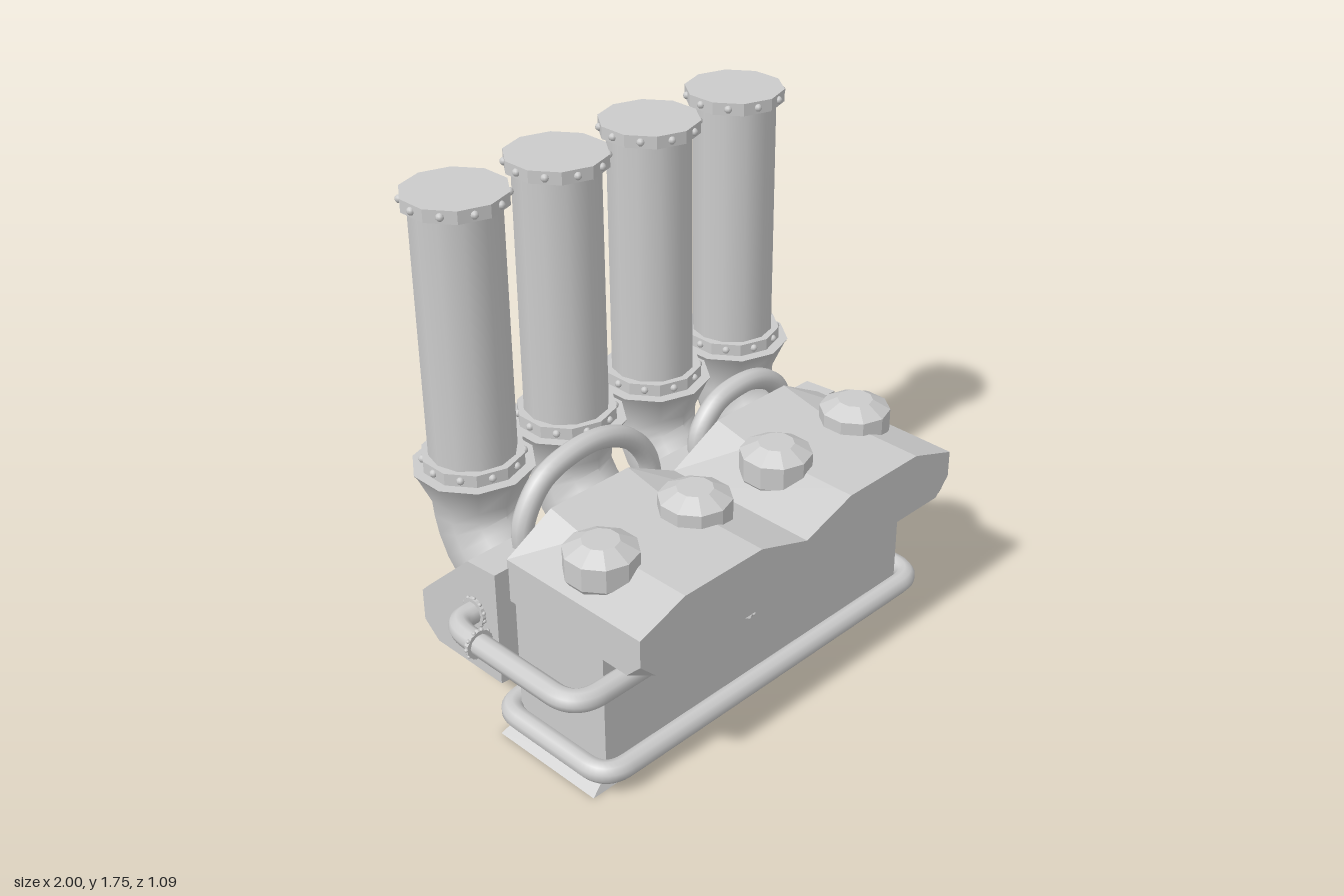
import * as THREE from 'three';
import { toCreasedNormals } from 'three/addons/utils/BufferGeometryUtils.js';

const grey = new THREE.MeshStandardMaterial({ color: 0xcccccc });
const flat = new THREE.MeshStandardMaterial({ color: 0xcccccc, flatShading: true });
const V = (x, y, z) => new THREE.Vector3(x, y, z);

function add(parent, name, geometry, x = 0, y = 0, z = 0, material = grey) {
  const mesh = new THREE.Mesh(geometry, material);
  mesh.name = name;
  mesh.position.set(x, y, z);
  parent.add(mesh);
  return mesh;
}

// Skin a list of equal-sized point rings and close both ends
function loft(rings, crease) {
  const n = rings[0].length, pos = [], idx = [];
  rings.forEach(r => r.forEach(p => pos.push(p.x, p.y, p.z)));
  for (let i = 0; i < rings.length - 1; i++)
    for (let j = 0; j < n; j++) {
      const a = i * n + j, b = i * n + (j + 1) % n;
      idx.push(a, b, a + n, b, b + n, a + n);
    }
  [0, rings.length - 1].forEach((k, end) => {
    const c = rings[k].reduce((s, p) => s.add(p), V(0, 0, 0)).divideScalar(n);
    const ci = pos.length / 3;
    pos.push(c.x, c.y, c.z);
    for (let j = 0; j < n; j++) {
      const a = k * n + j, b = k * n + (j + 1) % n;
      if (end) idx.push(ci, a, b); else idx.push(ci, b, a);
    }
  });
  // Turn the faces outward if the enclosed volume is negative
  const at = i => V(pos[3 * i], pos[3 * i + 1], pos[3 * i + 2]);
  let volume = 0;
  for (let i = 0; i < idx.length; i += 3)
    volume += at(idx[i]).dot(at(idx[i + 1]).cross(at(idx[i + 2])));
  if (volume < 0) idx.reverse();
  const g = new THREE.BufferGeometry();
  g.setAttribute('position', new THREE.Float32BufferAttribute(pos, 3));
  g.setIndex(idx);
  return toCreasedNormals(g, crease);
}

// Straight runs joined by rounded corners
function roundedPath(points, radius, closed = false) {
  const path = new THREE.CurvePath(), n = points.length;
  const toward = (a, b) => a.clone().add(b.clone().sub(a).setLength(Math.min(radius, a.distanceTo(b) * 0.49)));
  let last = closed ? toward(points[0], points[1]) : points[0];
  const start = last;
  for (let i = 1; i < (closed ? n + 1 : n - 1); i++) {
    const p = points[i % n], inn = toward(p, points[i - 1]), out = toward(p, points[(i + 1) % n]);
    path.add(new THREE.LineCurve3(last, inn));
    path.add(new THREE.QuadraticBezierCurve3(inn, p, out));
    last = out;
  }
  if (!closed) path.add(new THREE.LineCurve3(last, points[n - 1]));
  else if (last.distanceTo(start) > 1e-6) path.add(new THREE.LineCurve3(last, start));
  return path;
}

// Ten-sided ring with a bolt on each side, turned to the given axis
function boltedFlange(parent, name, r, h, boltR, at, axis = V(0, 1, 0)) {
  const g = new THREE.Group();
  g.name = name;
  add(g, 'flangeRing', new THREE.CylinderGeometry(r, r, h, 10), 0, 0, 0, flat);
  const bolt = new THREE.SphereGeometry(boltR, 8, 6);
  for (let i = 0; i < 10; i++) {
    const t = (i + 0.5) * Math.PI / 5, d = r * 0.955;
    add(g, 'bolt', bolt, d * Math.sin(t), 0, d * Math.cos(t));
  }
  g.position.copy(at);
  g.quaternion.setFromUnitVectors(V(0, 1, 0), axis);
  parent.add(g);
}

export function createModel() {
  const model = new THREE.Group();
  model.name = 'engine';
  const X = V(1, 0, 0), Z = V(0, 0, 1);

  // Block on a flared foot
  add(model, 'engineBlock', new THREE.BoxGeometry(1.405, 0.48, 0.395), -0.063, 0.28, 0.168);
  const rect = (hx, hz, y) => [[-1, -1], [1, -1], [1, 1], [-1, 1]].map(([a, b]) => V(-0.063 + a * hx, y, 0.168 + b * hz));
  add(model, 'baseFlare', loft([rect(0.777, 0.218, 0), rect(0.7, 0.197, 0.05)], 0.1));

  // Valve cover with two humps, a little higher at the back
  const cover = (z, lift, cut) => [
    [-0.785, 0.505 + cut], [-0.785, 0.66], [-0.6, 0.725 + lift], [-0.27, 0.725 + lift], [-0.063, 0.655],
    [0.145, 0.725 + lift], [0.475, 0.725 + lift], [0.66, 0.66], [0.66, 0.505 + cut], [0.66 - cut, 0.505], [-0.785 + cut, 0.505],
  ].map(([x, y]) => V(x, y, z));
  add(model, 'valveCover', loft([cover(0.548, 0, 0.06), cover(0.49, 0, 0.002), cover(0.12, 0, 0.002), cover(-0.035, 0.035, 0.002)], 0.1));

  // Filler caps
  const capProfile = [[0, 0.64], [0.1, 0.66], [0.12, 0.69], [0.12, 0.77], [0.06, 0.803], [0, 0.803]].map(p => new THREE.Vector2(...p));
  for (const x of [-0.65, -0.25, 0.125, 0.52])
    add(model, 'fillerCap', new THREE.LatheGeometry(capProfile, 10), x, 0, 0.245, flat);

  // Exhaust manifold, deepest in the middle
  const manifold = (x, zBottom, yBottom) => [
    [-0.03, 0.63], [-0.16, 0.62], [-0.375, 0.42], [-0.41, 0.385], [-0.41, 0.27], [zBottom, yBottom], [-0.03, yBottom],
  ].map(([z, y]) => V(x, y, z));
  add(model, 'manifold', loft([manifold(-0.84, -0.345, 0.215), manifold(0, -0.305, 0.155), manifold(0.745, -0.345, 0.215)], 0.1));
  add(model, 'drainPipe', new THREE.CylinderGeometry(0.078, 0.078, 0.2, 10), 0.285, 0.1, -0.207, flat);

  // Four stacks, each with a flared elbow below: y, z, tilt, radius
  const elbow = [[0.818, -0.345, 0, 0.2], [0.8, -0.345, 0, 0.188], [0.71, -0.345, 0, 0.148], [0.66, -0.343, 0.1, 0.145],
    [0.61, -0.328, 0.38, 0.145], [0.555, -0.295, 0.65, 0.147], [0.51, -0.25, 0.8, 0.148], [0.45, -0.19, 0.8, 0.145]];
  const elbowRings = elbow.map(([y, z, a, r]) => Array.from({ length: 10 }, (_, i) => {
    const t = i * Math.PI / 5, u = r * Math.cos(t);
    return V(r * Math.sin(t), y + u * Math.sin(a), z + u * Math.cos(a));
  }));
  const elbowGeometry = loft(elbowRings, 0.75);
  for (const x of [-0.645, -0.25, 0.145, 0.54]) {
    add(model, 'elbow', elbowGeometry, x);
    add(model, 'stack', new THREE.CylinderGeometry(0.142, 0.142, 0.92, 12), x, 1.28, -0.345);
    for (const y of [0.842, 1.725])
      boltedFlange(model, 'stackFlange', 0.167, 0.042, 0.013, V(x, y, -0.345));
  }

  // Upper rail running round the front from one manifold end to the other
  const yr = 0.445;
  const upper = roundedPath([V(-0.8, yr, -0.135), V(-0.942, yr, -0.135), V(-0.942, yr, 0.437),
    V(0.795, yr, 0.437), V(0.795, yr, -0.135), V(0.7, yr, -0.135)], 0.1);
  add(model, 'upperRail', new THREE.TubeGeometry(upper, 240, 0.037, 10));
  const small = (x, y, z, axis, r = 0.05) => boltedFlange(model, 'pipeFlange', r, 0.015, 0.007, V(x, y, z), axis);
  small(-0.942, yr, 0, Z);
  small(0.795, yr, 0, Z);
  small(-0.23, yr, 0.437, X);
  small(-0.845, yr, -0.135, X);
  small(0.75, yr, -0.135, X);

  // Lower rail looping round the foot
  const lower = roundedPath([V(-0.812, 0.08, -0.07), V(-0.812, 0.08, 0.415), V(0.69, 0.08, 0.415), V(0.69, 0.08, -0.07)], 0.09, true);
  add(model, 'lowerRail', new THREE.TubeGeometry(lower, 280, 0.037, 10, true));

  // Side pipe from the manifold back to the block
  const side = new THREE.CatmullRomCurve3([V(0.7, 0.32, -0.31), V(0.84, 0.32, -0.31), V(0.925, 0.31, -0.27), V(0.963, 0.29, -0.18),
    V(0.95, 0.265, -0.03), V(0.9, 0.245, 0.07), V(0.8, 0.23, 0.11), V(0.6, 0.225, 0.12)]);
  add(model, 'sidePipe', new THREE.TubeGeometry(side, 16, 0.039, 8), 0, 0, 0, flat);
  small(0.75, 0.32, -0.31, X, 0.06);
  small(0.647, 0.225, 0.12, X, 0.06);

  // Arched hoses behind the cover
  const arches = [
    [[-0.66, 0.58], [-0.66, 0.7], [-0.58, 0.82], [-0.46, 0.866], [-0.32, 0.866], [-0.2, 0.81], [-0.12, 0.7], [-0.105, 0.58]],
    [[0.12, 0.58], [0.125, 0.69], [0.2, 0.775], [0.29, 0.8], [0.39, 0.795], [0.48, 0.75], [0.53, 0.68], [0.535, 0.58]],
  ];
  for (const pts of arches) {
    const curve = new THREE.CatmullRomCurve3(pts.map(([x, y]) => V(x, y, -0.1)));
    add(model, 'archedHose', new THREE.TubeGeometry(curve, 40, 0.037, 10));
  }
  return model;
}
